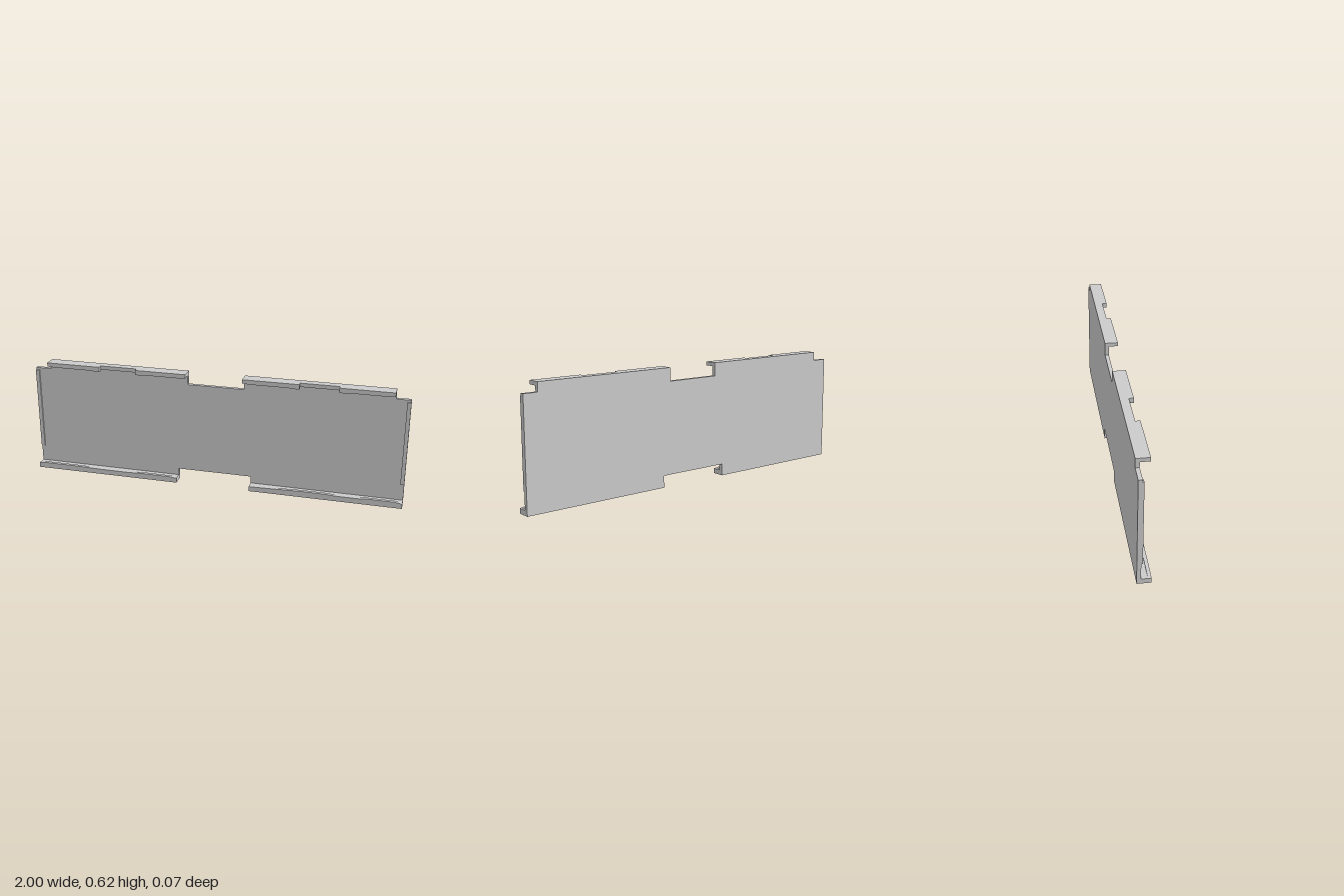
import * as THREE from 'three';

const material = new THREE.MeshStandardMaterial({ color: 0xcccccc, flatShading: true });
const BACK = -0.034, FACE = -0.014, FRONT = 0.034;

// Extrude an outline of [a, b] points; lying = true reads them as [x, z] with height along y
function slab(name, points, start, end, lying = false) {
  const shape = new THREE.Shape(points.map(([a, b]) => new THREE.Vector2(a, lying ? -b : b)));
  const geometry = new THREE.ExtrudeGeometry(shape, { depth: end - start, bevelEnabled: false });
  geometry.translate(0, 0, start);
  if (lying) geometry.rotateX(-Math.PI / 2);
  const mesh = new THREE.Mesh(geometry, material);
  mesh.name = name;
  return mesh;
}

export function createModel() {
  const model = new THREE.Group();
  model.name = 'coverPanel';

  // Flat back plate with stepped corners and two central cut-outs
  model.add(slab('backPlate', [
    [-1, 0], [-0.2, 0], [-0.2, 0.063], [0.2, 0.063], [0.2, 0], [1, 0],
    [1, 0.572], [0.925, 0.572], [0.925, 0.62], [0.157, 0.62], [0.157, 0.55],
    [-0.143, 0.55], [-0.143, 0.62], [-0.91, 0.62], [-0.91, 0.572], [-1, 0.572],
  ], BACK, FACE));

  // Top flanges, each with a notch in the front edge
  const tops = [
    { name: 'Right', x0: -0.91, x1: -0.143, n0: -0.615, n1: -0.415 },
    { name: 'Left', x0: 0.157, x1: 0.925, n0: 0.45, n1: 0.65 },
  ];
  for (const { name, x0, x1, n0, n1 } of tops) {
    model.add(slab('topFlange' + name, [
      [x0, FACE], [x1, FACE], [x1, FRONT], [n1, FRONT], [n1, 0.01],
      [n0, 0.01], [n0, FRONT], [x0, FRONT],
    ], 0.6, 0.62, true));
    // Ramped catch lips hanging on both sides of the notch
    model.add(slab('topLipOuter' + name, [
      [x0, 0.6], [x0 + 0.04, 0.597], [n0 - 0.06, 0.597], [n0, 0.593], [n0, 0.6],
    ], 0.017, FRONT));
    model.add(slab('topLipInner' + name, [
      [n1, 0.6], [n1, 0.594], [n1 + 0.06, 0.597], [x1 - 0.04, 0.597], [x1, 0.6],
    ], 0.017, FRONT));
  }

  // Bottom flanges with a low, gently ramped lip along the front edge
  const bottoms = [
    { name: 'Right', x0: -1, x1: -0.2,
      lip: [[-0.2, 0.026], [-0.24, 0.031], [-0.4, 0.031], [-0.47, 0.028],
        [-0.63, 0.028], [-0.78, 0.031], [-0.97, 0.031], [-1, 0.026]] },
    { name: 'Left', x0: 0.2, x1: 1,
      lip: [[1, 0.026], [0.96, 0.033], [0.82, 0.033], [0.78, 0.029],
        [0.66, 0.029], [0.6, 0.033], [0.48, 0.033], [0.3, 0.028], [0.2, 0.026]] },
  ];
  for (const { name, x0, x1, lip } of bottoms) {
    model.add(slab('bottomFlange' + name,
      [[x0, FACE], [x1, FACE], [x1, FRONT], [x0, FRONT]], 0, 0.026, true));
    model.add(slab('bottomLip' + name, lip, 0.017, FRONT));
  }

  // Slim raised ribs along both ends
  for (const side of [-1, 1]) {
    const rib = new THREE.Mesh(new THREE.BoxGeometry(0.02, 0.445, 0.007), material);
    rib.name = side < 0 ? 'endRibRight' : 'endRibLeft';
    rib.position.set(side * 0.99, 0.3375, FACE + 0.0035);
    model.add(rib);
  }
  return model;
}
